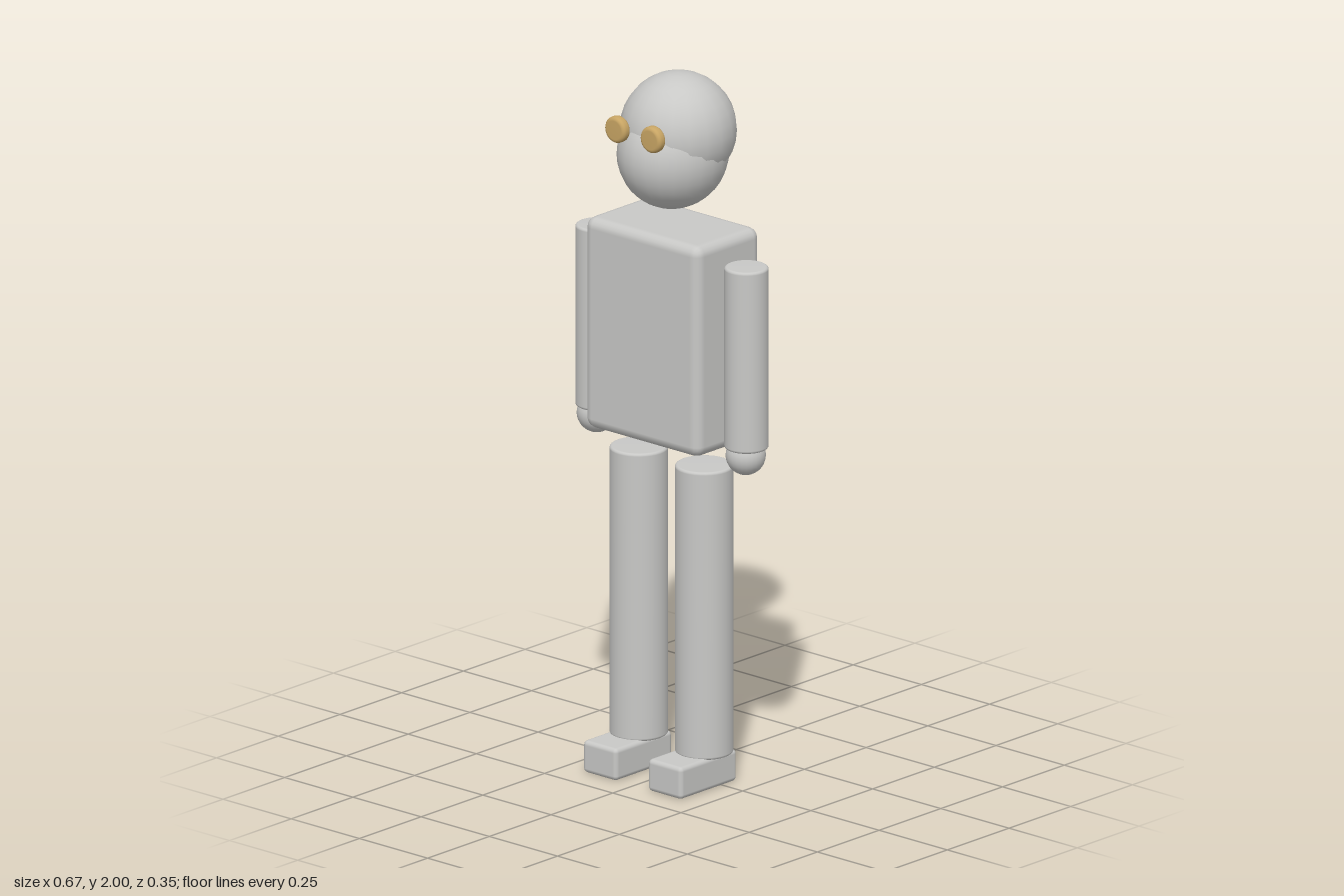
import * as THREE from 'three';
import { RoundedBoxGeometry } from 'three/addons/geometries/RoundedBoxGeometry.js';

const bodyGrey = new THREE.MeshStandardMaterial({ color: 0xc8c8c6 });
bodyGrey.name = 'body grey';
const eyeGold = new THREE.MeshStandardMaterial({ color: 0xc8a564 });
eyeGold.name = 'eye gold';

// Upright cylinder with a softly rounded rim, centred on its own origin
function roundedCylinder(radius, height, bevel, sides = 32) {
  const h = height / 2;
  const steps = 4;
  const points = [new THREE.Vector2(0, -h)];
  for (const end of [-1, 1]) {
    for (let i = 0; i <= steps; i++) {
      const t = (i / steps) * Math.PI / 2;
      const a = end < 0 ? t : Math.PI / 2 - t;
      points.push(new THREE.Vector2(
        radius - bevel + bevel * Math.sin(a),
        end * (h - bevel + bevel * Math.cos(a))
      ));
    }
  }
  points.push(new THREE.Vector2(0, h));
  return new THREE.LatheGeometry(points, sides);
}

export function createModel() {
  const model = new THREE.Group();
  model.name = 'robotFigure';

  const add = (name, geometry, material, x, y, z) => {
    const mesh = new THREE.Mesh(geometry, material);
    mesh.name = name;
    mesh.position.set(x, y, z);
    model.add(mesh);
    return mesh;
  };

  // Head: a round skull over a narrower egg-shaped face
  add('skull', new THREE.SphereGeometry(0.16, 20, 16), bodyGrey, 0, 1.84, -0.016);
  add('face', new THREE.SphereGeometry(1, 24, 18), bodyGrey, 0, 1.777, 0.006)
    .scale.set(0.148, 0.155, 0.16);

  // Torso block with bevelled edges
  add('torso', new RoundedBoxGeometry(0.42, 0.605, 0.26, 2, 0.03), bodyGrey, 0, 1.276, 0.009);

  const eye = roundedCylinder(0.0375, 0.03, 0.011).rotateX(Math.PI / 2);
  const arm = roundedCylinder(0.0605, 0.52, 0.008);
  const hand = new THREE.SphereGeometry(0.055, 24, 16);
  const leg = roundedCylinder(0.08, 0.825, 0.008);
  const foot = new RoundedBoxGeometry(0.124, 0.092, 0.23, 2, 0.013);

  // Paired parts
  for (const [side, s] of [['left', 1], ['right', -1]]) {
    add(side + 'Eye', eye, eyeGold, s * 0.065, 1.866, 0.159);
    add(side + 'Arm', arm, bodyGrey, s * 0.273, 1.252, 0.01);
    add(side + 'Hand', hand, bodyGrey, s * 0.273, 0.972, 0.013);
    add(side + 'Leg', leg, bodyGrey, s * 0.12, 0.4995, 0.012);
    add(side + 'Foot', foot, bodyGrey, s * 0.119, 0.046, 0.059);
  }

  return model;
}
